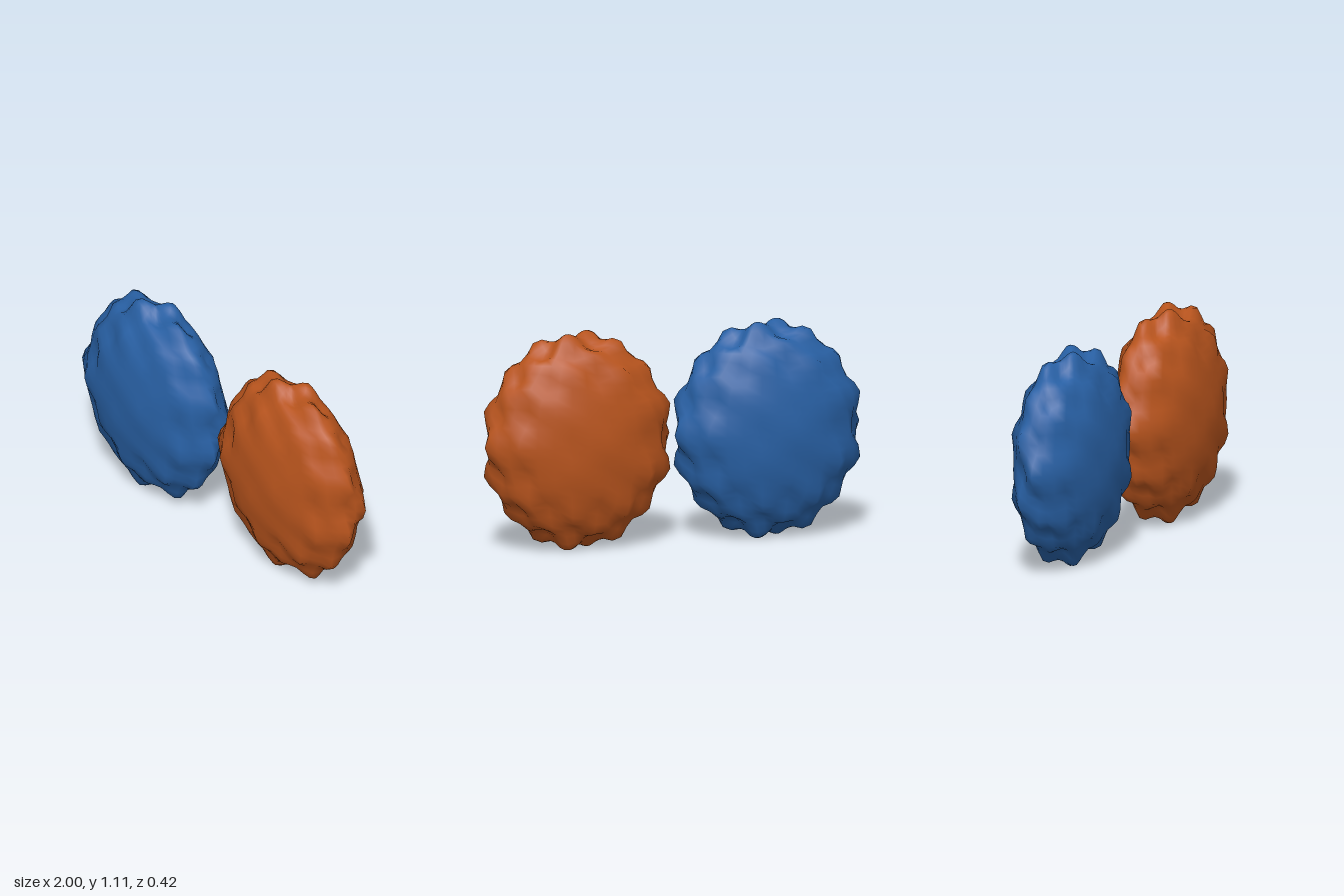
import * as THREE from 'three';
import { mergeVertices } from 'three/addons/utils/BufferGeometryUtils.js';

// Coarse flattened ellipsoid whose surface is rippled by a product of waves
function rippledDisc() {
  const radii = new THREE.Vector3(0.472, 0.533, 0.209);
  const depth = 0.085;
  let geo = new THREE.SphereGeometry(1, 32, 32);
  geo.deleteAttribute('uv');
  geo.deleteAttribute('normal');
  geo = mergeVertices(geo, 1e-4);
  const pos = geo.attributes.position;
  const p = new THREE.Vector3();
  for (let i = 0; i < pos.count; i++) {
    p.fromBufferAttribute(pos, i);
    const wave = Math.sin(11.5 * p.x) * Math.cos(10.2 * p.y) * Math.sin(7 * p.z);
    p.multiplyScalar(1 + depth * wave).multiply(radii);
    pos.setXYZ(i, p.x, p.y, p.z);
  }
  geo.computeVertexNormals();
  geo.computeBoundingBox();
  return geo;
}

export function createModel() {
  const group = new THREE.Group();
  group.name = 'rippledDiscPair';
  const geo = rippledDisc();

  // Two identical discs side by side, edges just touching
  const discs = [['leftDisc', 1, 0xb8541d], ['rightDisc', -1, 0x2860a4]];
  for (const [name, side, color] of discs) {
    const mesh = new THREE.Mesh(geo, new THREE.MeshStandardMaterial({ color }));
    mesh.name = name;
    mesh.position.set(side * 0.5, -geo.boundingBox.min.y, 0);
    group.add(mesh);
  }
  return group;
}
